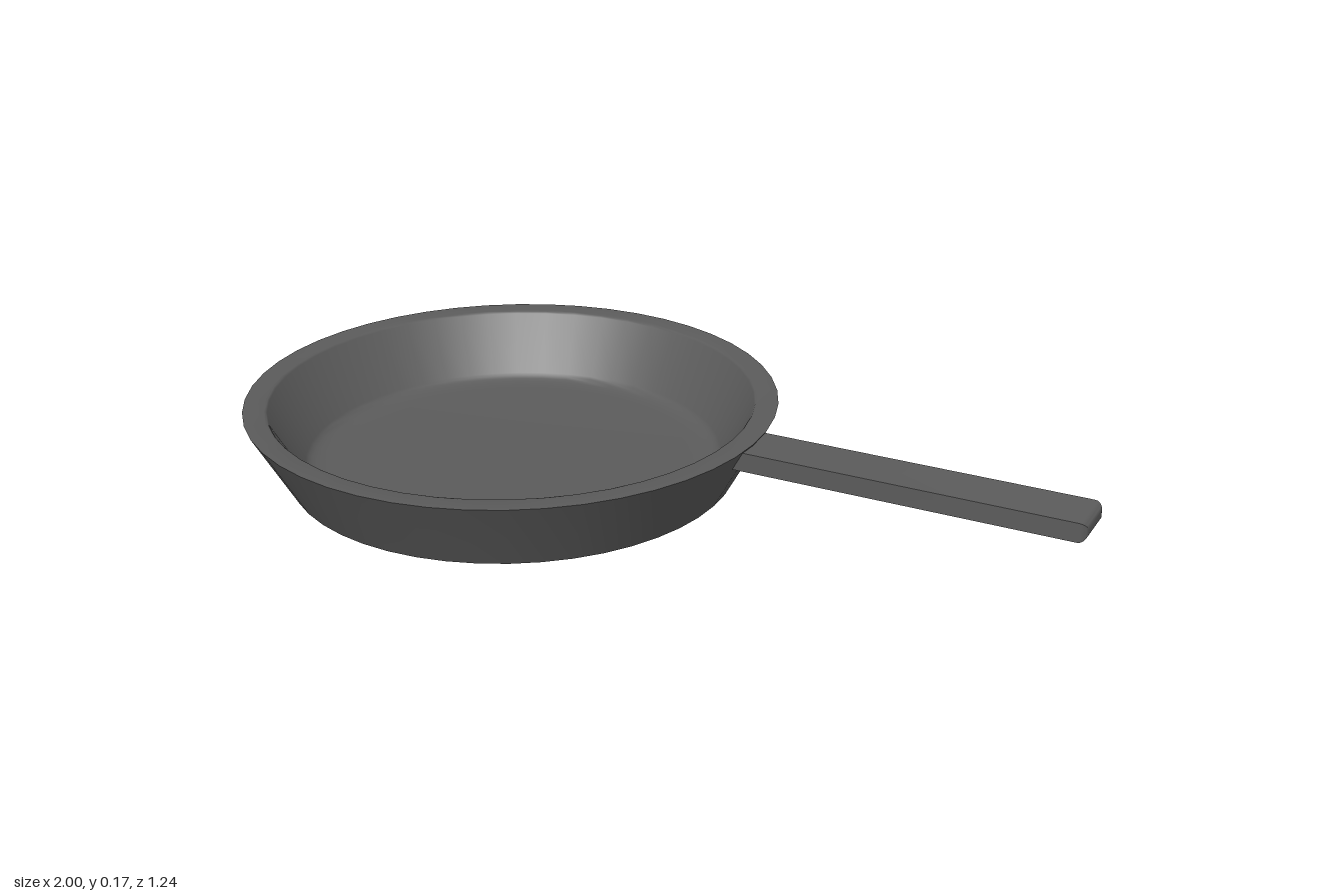
import * as THREE from 'three';
import { toCreasedNormals } from 'three/addons/utils/BufferGeometryUtils.js';

const iron = new THREE.MeshStandardMaterial({ color: 0x5b5b5b });

// Flared pan: one closed profile from under the base, over the rim, to the inner floor
function createPan() {
  const outer = [[0, 0], [0.524, 0], [0.527, 0.006], [0.619, 0.172]];
  const lip = [[0.57, 0.172], [0.566, 0.171], [0.563, 0.167]];
  const fillet = new THREE.QuadraticBezierCurve(
    new THREE.Vector2(0.487, 0.032),
    new THREE.Vector2(0.476, 0.013),
    new THREE.Vector2(0.415, 0.013)
  );
  const profile = [
    ...[...outer, ...lip].map(([r, y]) => new THREE.Vector2(r, y)),
    ...fillet.getPoints(6),
    new THREE.Vector2(0, 0.013),
  ];
  const geometry = toCreasedNormals(new THREE.LatheGeometry(profile, 48), 0.7);
  const pan = new THREE.Mesh(geometry, iron);
  pan.name = 'pan';
  pan.position.x = -0.382;
  return pan;
}

// Straight bar handle whose free end is rounded over on all four edges
function createHandle() {
  const start = 0.19, end = 1, height = 0.044, width = 0.124, round = 0.019, steps = 5;
  const geometry = new THREE.BoxGeometry(1, height, width, steps + 1, 1, 1);
  const pos = geometry.attributes.position;
  for (let i = 0; i < pos.count; i++) {
    const ring = Math.round((pos.getX(i) + 0.5) * (steps + 1));
    const angle = (Math.max(ring - 1, 0) / steps) * Math.PI / 2;
    const inset = round * (1 - Math.cos(angle));
    const x = ring === 0 ? start : end - round + round * Math.sin(angle);
    const y = pos.getY(i), z = pos.getZ(i);
    pos.setXYZ(i, x, y - Math.sign(y) * inset, z - Math.sign(z) * inset);
  }
  const handle = new THREE.Mesh(toCreasedNormals(geometry, 0.6), iron);
  handle.name = 'handle';
  handle.position.set(0, 0.145, -0.017);
  return handle;
}

export function createModel() {
  const model = new THREE.Group();
  model.name = 'fryingPan';
  model.add(createPan(), createHandle());
  return model;
}
